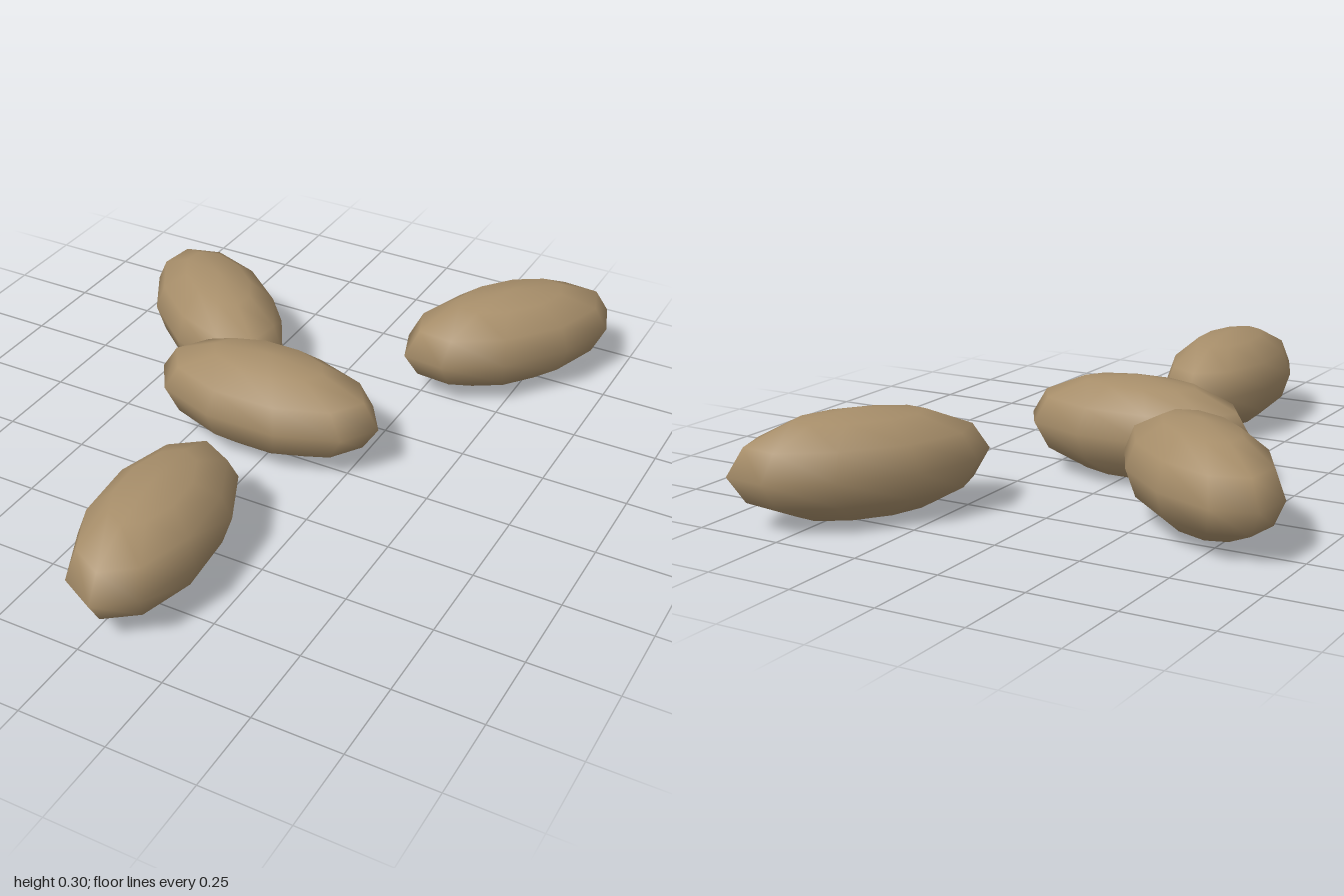
import * as THREE from 'three';

export function createModel() {
  const group = new THREE.Group();
  const brown = new THREE.MeshStandardMaterial({ color: 0xa78e6a });
  brown.name = 'pebble brown';

  // Coarse smooth ellipsoid lying along its own x axis, standing on its pole
  const pebbleShape = new THREE.SphereGeometry(1, 10, 6).scale(0.357, 0.15, 0.178);

  // name, x, z, turn about the vertical in degrees
  const pebbles = [
    ['frontPebble', 0.01, 0.64, -85],
    ['middlePebble', -0.033, -0.04, 0],
    ['rightPebble', -0.4, -0.38, -40.5],
    ['backPebble', 0.437, -0.717, 52],
  ];
  for (const [name, x, z, turn] of pebbles) {
    const pebble = new THREE.Mesh(pebbleShape, brown);
    pebble.name = name;
    pebble.position.set(x, 0.16, z);
    pebble.rotation.y = THREE.MathUtils.degToRad(turn);
    group.add(pebble);
  }
  return group;
}
